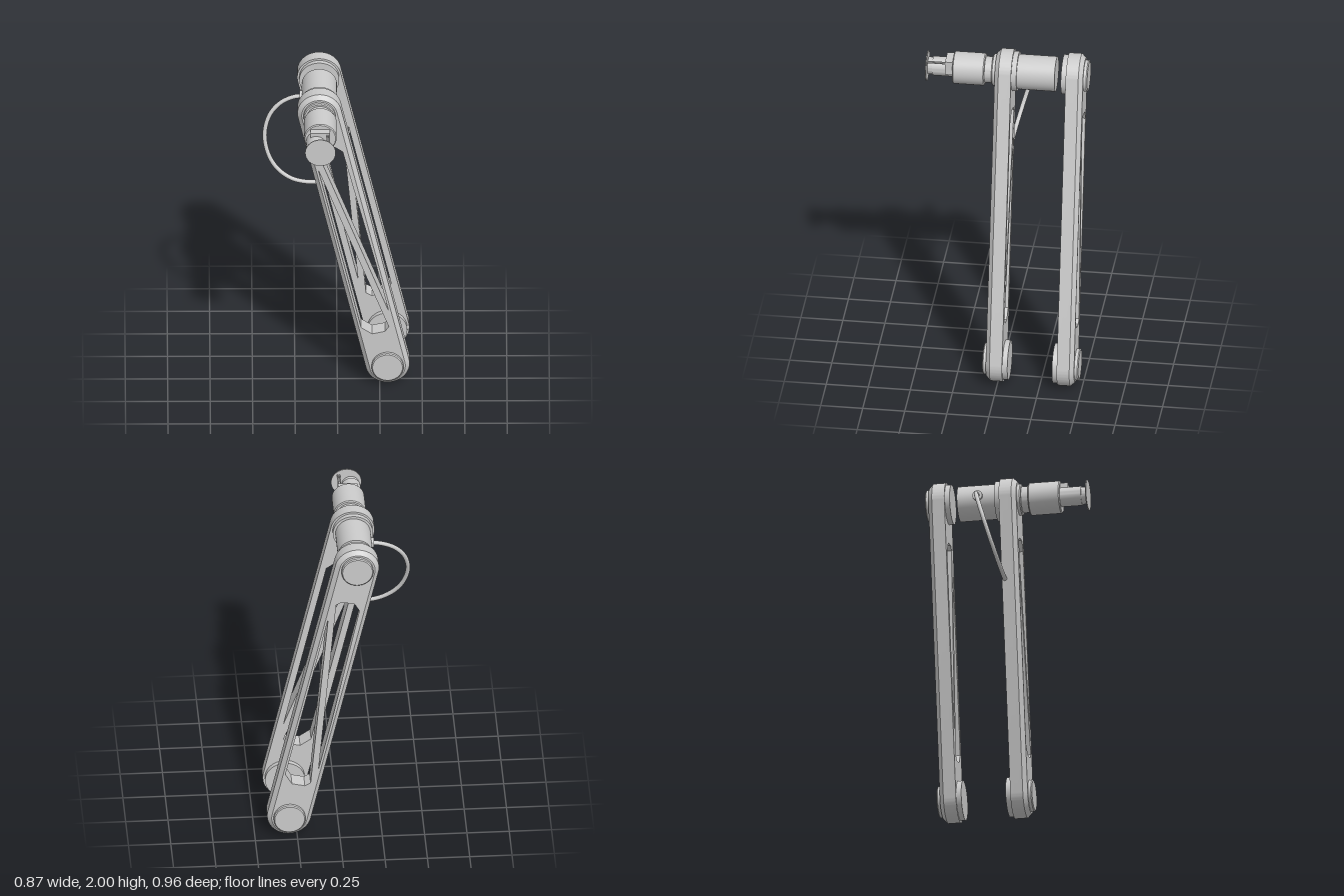
import * as THREE from 'three';
import { toCreasedNormals } from 'three/addons/utils/BufferGeometryUtils.js';

const material = new THREE.MeshStandardMaterial({ color: 0xcccccc });
const PIVOT = { x: -0.105, y: 1.87 };
const LENGTH = 1.786; // distance between the two pivots
const RADIUS = 0.13;
const TILT = 0.2265;

function mesh(name, geometry) {
  const m = new THREE.Mesh(geometry, material);
  m.name = name;
  return m;
}

// Solid of revolution about z; profile is [radius, z] from back to front
function turned(name, profile, x = 0, y = 0) {
  const points = profile.map(([r, z]) => new THREE.Vector2(r, z));
  const geometry = toCreasedNormals(new THREE.LatheGeometry(points, 48).rotateX(Math.PI / 2), 0.5);
  const m = mesh(name, geometry);
  m.position.set(x, y, 0);
  return m;
}

const disc = (name, r, z0, z1, x, y) => turned(name, [[0, z0], [r, z0], [r, z1], [0, z1]], x, y);

// Long plate with rounded ends, two windows split by a diagonal strut, and one chamfered rim
function plateGeometry() {
  const shape = new THREE.Shape();
  shape.absarc(0, 0, RADIUS, 0, Math.PI, false);
  shape.absarc(0, -LENGTH, RADIUS, Math.PI, Math.PI * 2, false);
  shape.closePath();

  const win = [[-0.068, -0.262], [-0.039, -0.236], [0.039, -0.236], [0.092, -0.293], [0.092, -1.42]];
  for (const turn of [false, true]) {
    const pts = win.map(([x, y]) => (turn ? new THREE.Vector2(-x, -LENGTH - y) : new THREE.Vector2(x, y)));
    shape.holes.push(new THREE.Path(pts));
  }

  const geometry = new THREE.ExtrudeGeometry(shape, { depth: 0.1, steps: 4, bevelEnabled: false, curveSegments: 28 });
  // Pull the outer rim of the front layer inwards to form the chamfer
  const p = geometry.attributes.position;
  for (let i = 0; i < p.count; i++) {
    const x = p.getX(i), y = p.getY(i);
    const cy = Math.min(0, Math.max(-LENGTH, y));
    const d = Math.hypot(x, y - cy);
    if (p.getZ(i) > 0.09 && d > 0.12) {
      const k = 0.105 / d;
      p.setXY(i, x * k, cy + (y - cy) * k);
    }
  }
  geometry.translate(0, 0, -0.035);
  return toCreasedNormals(geometry, 0.5);
}

// Plate with a pivot cap and a spacer at each end
function makeArm(name) {
  const arm = new THREE.Group();
  arm.name = name;
  arm.add(mesh('plate', plateGeometry()));
  for (const [end, y] of [['upper', 0], ['lower', -LENGTH]]) {
    arm.add(turned(end + 'PivotCap', [[0, 0.06], [0.094, 0.06], [0.094, 0.082], [0.088, 0.088], [0, 0.088]], 0, y));
    arm.add(disc(end + 'Spacer', 0.118, -0.065, -0.03, 0, y));
  }
  return arm;
}

export function createModel() {
  const model = new THREE.Group();
  model.name = 'linkage';

  // Two arms, the rear one turned to face backwards
  const arms = new THREE.Group();
  arms.name = 'arms';
  arms.position.set(PIVOT.x, PIVOT.y, 0);
  arms.rotation.z = TILT;
  const rearArm = makeArm('rearArm');
  rearArm.rotation.y = Math.PI;
  rearArm.position.z = -0.395;
  arms.add(makeArm('frontArm'), rearArm);
  model.add(arms);

  // Barrel, neck and housing along the upper pivot
  model.add(
    disc('barrel', 0.104, -0.29, -0.06, PIVOT.x, PIVOT.y - 0.002),
    disc('neck', 0.078, 0.08, 0.135, PIVOT.x + 0.003, PIVOT.y),
    turned('housing', [[0, 0.13], [0.09, 0.13], [0.096, 0.136], [0.096, 0.314], [0.09, 0.32], [0, 0.32]], PIVOT.x + 0.004, PIVOT.y)
  );

  // Tip assembly: offset plunger, bracket, guide rods and end plate
  model.add(
    disc('plunger', 0.057, 0.315, 0.447, -0.126, 1.857),
    disc('plungerTip', 0.051, 0.44, 0.476, -0.126, 1.857),
    disc('endPlate', 0.09, 0.474, 0.48, -0.101, PIVOT.y)
  );
  const bracket = mesh('bracket', new THREE.BoxGeometry(0.115, 0.085, 0.05));
  bracket.position.set(-0.101, 1.892, 0.341);
  model.add(bracket);
  for (const x of [-0.062, -0.049]) model.add(disc('guideRod', 0.004, 0.36, 0.476, x, 1.92));

  // Cable looping from the barrel side to the edge of the front arm
  const cablePath = [
    [-0.19, 1.866], [-0.26, 1.858], [-0.34, 1.82], [-0.4, 1.75], [-0.428, 1.64],
    [-0.405, 1.52], [-0.35, 1.435], [-0.27, 1.38], [-0.19, 1.36], [-0.11, 1.357],
  ].map(([x, y]) => new THREE.Vector3(x, y, -0.165 + (1.866 - y) * 0.29));
  model.add(mesh('cable', new THREE.TubeGeometry(new THREE.CatmullRomCurve3(cablePath), 48, 0.013, 12)));

  const collar = mesh('cableCollar', new THREE.CylinderGeometry(0.03, 0.03, 0.03, 32).rotateZ(Math.PI / 2));
  collar.position.set(-0.207, 1.866, -0.165);
  model.add(collar);

  return model;
}
